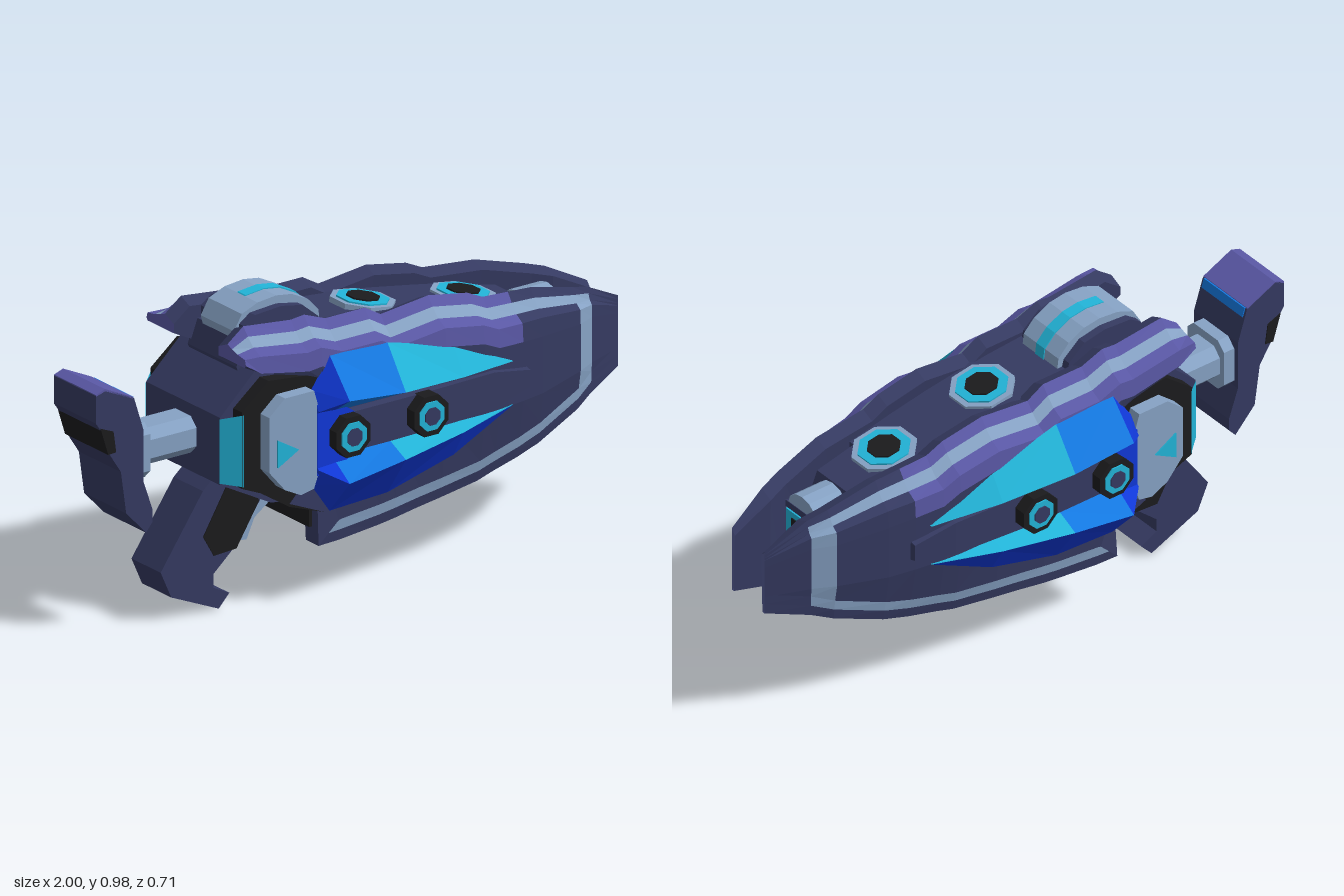
import * as THREE from 'three';

const mat = (name, color) => new THREE.MeshStandardMaterial({ name, color, side: THREE.DoubleSide });
const navy = mat('navy', 0x353a61), purple = mat('violet', 0x5957a4), steel = mat('steel', 0x86a2c4),
  black = mat('black', 0x1b1b1d), teal = mat('teal', 0x22b4d8), azure = mat('azure', 0x1478e0), deep = mat('deepBlue', 0x1038d8);
const lerp = THREE.MathUtils.lerp;

export function createModel() {
  const model = new THREE.Group();
  model.name = 'blaster';

  const add = (name, geo, material) => {
    const g = geo.index ? geo.toNonIndexed() : geo;
    g.computeVertexNormals();
    const m = new THREE.Mesh(g, material);
    m.name = name;
    model.add(m);
    return m;
  };

  // Side profile in x/y, extruded between two z values
  const slab = (name, pts, z0, z1, material) => {
    const shape = new THREE.Shape(pts.map(p => new THREE.Vector2(...p)));
    const g = new THREE.ExtrudeGeometry(shape, { depth: Math.abs(z1 - z0), bevelEnabled: false });
    return add(name, g.translate(0, 0, Math.min(z0, z1)), material);
  };
  const box = (name, x0, x1, y0, y1, hz, material) =>
    add(name, new THREE.BoxGeometry(x1 - x0, y1 - y0, hz * 2).translate((x0 + x1) / 2, (y0 + y1) / 2, 0), material);

  // Skin over cross-sections, one mesh per colour
  const skin = (name, sections, colourOf, flip, capStart) => {
    const parts = new Map();
    const tri = (m, a, b, c) => {
      if (!parts.has(m)) parts.set(m, []);
      parts.get(m).push(...a, ...(flip ? c : b), ...(flip ? b : c));
    };
    for (let i = 0; i < sections.length - 1; i++) {
      for (let j = 0; j < sections[i].length - 1; j++) {
        const a = sections[i][j], b = sections[i][j + 1], c = sections[i + 1][j + 1], d = sections[i + 1][j];
        const m = colourOf(i, j);
        tri(m, a, b, c);
        tri(m, a, c, d);
      }
    }
    if (capStart) {
      const s = sections[0], mid = [0, 1, 2].map(k => s.reduce((t, p) => t + p[k], 0) / s.length);
      for (let j = 0; j < s.length - 1; j++) tri(capStart, mid, s[j + 1], s[j]);
    }
    parts.forEach((v, m) => {
      const g = new THREE.BufferGeometry();
      g.setAttribute('position', new THREE.Float32BufferAttribute(v, 3));
      add(`${name}_${m.name}`, g, m);
    });
  };

  // Hull stations: x, top y, bottom y, ridge z, middle z, bottom z
  const hull = [
    [-0.25, 0.93, 0.197, 0.16, 0.255, 0.235], [-0.17, 0.9, 0.2, 0.16, 0.255, 0.235],
    [-0.02, 0.9, 0.212, 0.16, 0.255, 0.23], [0.04, 0.865, 0.22, 0.16, 0.255, 0.23],
    [0.13, 0.875, 0.232, 0.16, 0.255, 0.225], [0.22, 0.885, 0.242, 0.16, 0.255, 0.22],
    [0.37, 0.858, 0.26, 0.157, 0.25, 0.21], [0.43, 0.83, 0.275, 0.155, 0.245, 0.205],
    [0.53, 0.822, 0.295, 0.15, 0.23, 0.195], [0.62, 0.815, 0.318, 0.145, 0.212, 0.185],
    [0.79, 0.77, 0.38, 0.125, 0.172, 0.155], [0.86, 0.75, 0.41, 0.11, 0.135, 0.13],
    [1, 0.68, 0.45, 0.08, 0.08, 0.08]];
  // Rear overhang stations: x, top y, scale, lower edge y
  const tail = [[-0.54, 0.9, 0.3, 0.85], [-0.48, 0.945, 0.9, 0.82], [-0.3, 0.925, 1, 0.77], [-0.25, 0.93, 1, 0.75]];

  const crest = (x, top, k, zr, zm, s) =>
    [[-0.02, -0.045], [0, 0], [-0.03 * k, 0.25], [-0.06 * k, 0.55], [-0.08 * k, 0.95], [-0.14 * k, 1]]
      .map(([dy, t]) => [x, top + dy, s * (t < 0 ? Math.max(0.065, zr + t) : lerp(zr, zm, t))]);
  const innerZ = zb => Math.max(0.07, zb - 0.065);

  for (const s of [1, -1]) {
    const side = s > 0 ? 'front' : 'back';
    // Shell with the C-shaped stripe and a slanted lower rear end
    const sections = hull.map(([x, top, bot, zr, zm, zb], i) => {
      const p = crest(x, top, Math.min(1, (1.25 - x) / 0.6), zr, zm, s);
      const cut = i === 0 ? 0.07 : 0;
      p.push([x, x < 0.7 ? 0.64 : 0.61, s * zm], [x, x < 0.7 ? 0.49 : 0.51, s * zm],
        [x + cut, bot + 0.07, s * lerp(zb, zm, 0.4)], [x + cut / 2, bot + 0.035, s * lerp(zb, zm, 0.2)],
        [x, bot, s * zb], [x, bot, s * innerZ(zb)], p[0]);
      return p;
    });
    skin(side + 'Shell', sections, (i, j) => {
      if (j === 2 || j === 8) return i < 11 ? steel : navy;
      if (i === 10 && j > 2 && j < 8) return steel;
      return (j === 1 || j === 3 || j === 4) && i < 8 ? purple : navy;
    }, s < 0, navy);

    // Rear overhang of the shell
    const back = tail.map(([x, top, k, low]) => {
      const p = crest(x, top, k, 0.16, 0.255, s);
      p.push([x, low, s * 0.25], [x, low, s * 0.115], p[0]);
      return p;
    });
    skin(side + 'Overhang', back, (i, j) => j === 2 ? steel : j > 0 && j < 5 ? purple : navy, s < 0, purple);

    // Faceted upper and lower fins, joined by a blue plate at the rear
    const fin = [
      [-0.29, 0.72, 0.25, 0.66, 0.29, 0.265], [-0.22, 0.82, 0.25, 0.7, 0.355, 0.265], [0, 0.81, 0.25, 0.675, 0.345, 0.265],
      [0.25, 0.745, 0.25, 0.655, 0.305, 0.255], [0.48, 0.637, 0.24, 0.636, 0.245, 0.235]];
    for (const up of [true, false]) {
      const fy = y => up ? y : 1.13 - y;
      const rows = fin.map(([x, y0, z0, y1, z1, z2]) =>
        [[x, fy(y0), s * z0], [x, fy(y1), s * z1], [x, fy(0.638), s * z2]]);
      skin(side + (up ? 'UpperFin' : 'LowerFin'), rows,
        (i, j) => !up && j === 0 ? deep : [deep, azure, teal, teal][i], (s < 0) === up, deep);
    }
    slab('finLink', [[-0.29, 0.45], [-0.29, 0.68], [-0.22, 0.68], [-0.15, 0.63], [-0.15, 0.5], [-0.22, 0.45]], s * 0.22, s * 0.284, deep);

    // Raised rail between the fins
    const rail = [[-0.2, 0.64, 0.282], [0.1, 0.64, 0.282], [0.4, 0.635, 0.262], [0.545, 0.605, 0.245], [0.55, 0.605, 0.2]]
      .map(([x, y, z]) => [[x, y, s * 0.2], [x, y - 0.012, s * z], [x, 1.13 - y + 0.012, s * z], [x, 1.13 - y, s * 0.2]]);
    skin('sideRail', rail, () => navy, s < 0);

    // Round side ports
    for (const x of [-0.18, 0.115]) {
      const disc = (name, r, z0, z1, m) => add(name, new THREE.CylinderGeometry(r, r, z1 - z0, 8)
        .rotateY(Math.PI / 8).rotateX(Math.PI / 2).translate(x, 0.565, s * (z0 + z1) / 2), m);
      disc('portHousing', 0.07, 0.27, 0.32, black);
      disc('portRing', 0.05, 0.315, 0.325, teal);
      disc('portCore', 0.03, 0.32, 0.329, navy);
    }

    // Rear side panels
    slab('rearSidePlate', [[-0.54, 0.45], [-0.54, 0.7], [-0.44, 0.78], [-0.25, 0.76], [-0.22, 0.3], [-0.36, 0.35], [-0.47, 0.42]],
      s * 0.19, s * 0.235, black);
    skin('rearAccent', [[[-0.592, 0.675, s * 0.19], [-0.592, 0.465, s * 0.19]], [[-0.535, 0.69, s * 0.238], [-0.535, 0.455, s * 0.238]]], () => teal, s < 0);
    slab('hexPanel', [[-0.47, 0.5], [-0.47, 0.68], [-0.41, 0.73], [-0.3, 0.73], [-0.285, 0.68], [-0.285, 0.45], [-0.3, 0.41], [-0.35, 0.4], [-0.41, 0.43]],
      s * 0.2, s * 0.28, steel);
    slab('panelArrow', [[-0.44, 0.51], [-0.44, 0.6], [-0.36, 0.553]], s * 0.279, s * 0.285, teal);
    slab('lowerSkirt', [[-0.36, 0.36], [-0.3, 0.42], [-0.15, 0.4], [-0.12, 0.3], [-0.22, 0.3]], s * 0.15, s * 0.237, navy);
  }

  // Dark underside between the shells
  skin('underside', hull.slice(0, 11).map(([x, , bot, , , zb]) =>
    [[x, bot + 0.05, innerZ(zb) + 0.02], [x, bot + 0.05, -innerZ(zb) - 0.02]]), () => black, false);
  box('innerBulkhead', -0.26, -0.2, 0.25, 0.8, 0.2, black);

  // Rear body and top deck
  slab('rearBody', [[-0.59, 0.46], [-0.59, 0.68], [-0.44, 0.82], [-0.2, 0.82], [-0.2, 0.32], [-0.4, 0.36]], -0.19, 0.19, navy);
  slab('topDeck', [[-0.48, 0.8], [-0.45, 0.88], [-0.14, 0.865], [0.1, 0.845], [0.52, 0.775], [0.52, 0.6], [-0.4, 0.6]], -0.125, 0.125, navy);
  slab('frontDeck', [[0.5, 0.778], [0.66, 0.74], [0.68, 0.69], [0.76, 0.68], [0.76, 0.5], [0.5, 0.5]], -0.09, 0.09, navy);

  // Octagonal vents on the deck
  for (const [x, y] of [[0.09, 0.85], [0.47, 0.785]]) {
    const vent = (name, r, h, m) => add(name, new THREE.CylinderGeometry(r, r, h, 8)
      .rotateY(Math.PI / 8).translate(0, h / 2 - 0.02, 0).rotateZ(-0.16).translate(x, y, 0), m);
    vent('ventHousing', 0.105, 0.026, steel);
    vent('ventRing', 0.085, 0.031, teal);
    vent('ventCore', 0.054, 0.036, black);
  }

  // Muzzle
  box('muzzleBlock', 0.55, 0.79, 0.42, 0.68, 0.078, steel);
  box('muzzleFrame', 0.785, 0.796, 0.44, 0.67, 0.072, teal);
  box('muzzleOpening', 0.79, 0.8, 0.465, 0.65, 0.042, black);
  box('muzzleBrow', 0.7, 0.792, 0.672, 0.695, 0.078, navy);
  add('muzzleBridge', new THREE.CylinderGeometry(0.068, 0.068, 0.12, 12).rotateZ(Math.PI / 2)
    .scale(1, 0.8, 1).translate(0.73, 0.693, 0), steel);

  // Arched sight housing with its light strip
  slab('sightCheeks', [[-0.44, 0.86], [-0.44, 0.92], [-0.4, 0.948], [-0.3, 0.955], [-0.22, 0.94], [-0.16, 0.89], [-0.15, 0.85]], -0.112, 0.112, navy);
  const arch = [[-0.46, 0.9], [-0.43, 0.95], [-0.37, 0.974], [-0.3, 0.981], [-0.24, 0.972], [-0.18, 0.942], [-0.14, 0.9], [-0.135, 0.86]];
  slab('sightHousing', [...arch, [-0.45, 0.86]], -0.085, 0.085, steel);
  const strip = arch.slice(2);
  slab('sightStrip', [...strip.map(([x, y]) => [x + 0.003, y + 0.003]), ...strip.reverse().map(([x, y]) => [x - 0.004, y - 0.004])], -0.02, 0.02, teal);

  // Grip, grip insert and trigger guard
  slab('grip', [[-0.57, 0.4], [-0.73, 0.17], [-0.69, 0.08], [-0.51, 0.002], [-0.47, 0.045], [-0.53, 0.075], [-0.53, 0.12],
    [-0.45, 0.19], [-0.34, 0.34], [-0.34, 0.42], [-0.5, 0.46]], -0.075, 0.075, navy);
  slab('gripInsert', [[-0.48, 0.4], [-0.57, 0.25], [-0.53, 0.18], [-0.445, 0.185], [-0.36, 0.32], [-0.37, 0.4]], -0.078, 0.078, black);
  slab('triggerGuard', [[-0.36, 0.35], [-0.44, 0.2], [-0.39, 0.195], [-0.36, 0.26], [-0.29, 0.31], [-0.22, 0.33], [-0.25, 0.37]], -0.055, 0.055, steel);

  // Stock rod, collar and shoulder plate
  const rod = (name, x0, x1, hy, hz, m) => {
    const c = 0.03, ring = x => [[hy, hz - c], [hy - c, hz], [c - hy, hz], [-hy, hz - c], [-hy, c - hz], [c - hy, -hz], [hy - c, -hz], [hy, c - hz], [hy, hz - c]]
      .map(([y, z]) => [x, 0.58 + y, z]);
    const hub = x => Array.from({ length: 9 }, () => [x, 0.58, 0]);
    skin(name, [hub(x0), ring(x0), ring(x1), hub(x1)], () => m, false);
  };
  rod('stockRod', -0.8, -0.58, 0.06, 0.07, steel);
  rod('stockCollar', -0.84, -0.78, 0.09, 0.09, steel);
  slab('stockPlate', [[-1, 0.82], [-0.965, 0.832], [-0.855, 0.78], [-0.82, 0.67], [-0.82, 0.5], [-0.785, 0.4], [-0.785, 0.36],
    [-0.81, 0.33], [-0.885, 0.41], [-0.905, 0.55], [-0.95, 0.62], [-0.98, 0.7], [-1, 0.73]], -0.108, 0.108, navy);
  slab('stockTop', [[-0.999, 0.823], [-0.965, 0.835], [-0.857, 0.784], [-0.857, 0.778], [-0.965, 0.828], [-0.999, 0.816]], -0.108, 0.108, purple);
  slab('stockTrim', [[-0.857, 0.782], [-0.852, 0.782], [-0.843, 0.752], [-0.849, 0.75]], -0.1, 0.1, azure);
  slab('stockPad', [[-0.984, 0.71], [-0.935, 0.69], [-0.925, 0.62], [-0.955, 0.618]], -0.111, 0.111, black);

  return model;
}
